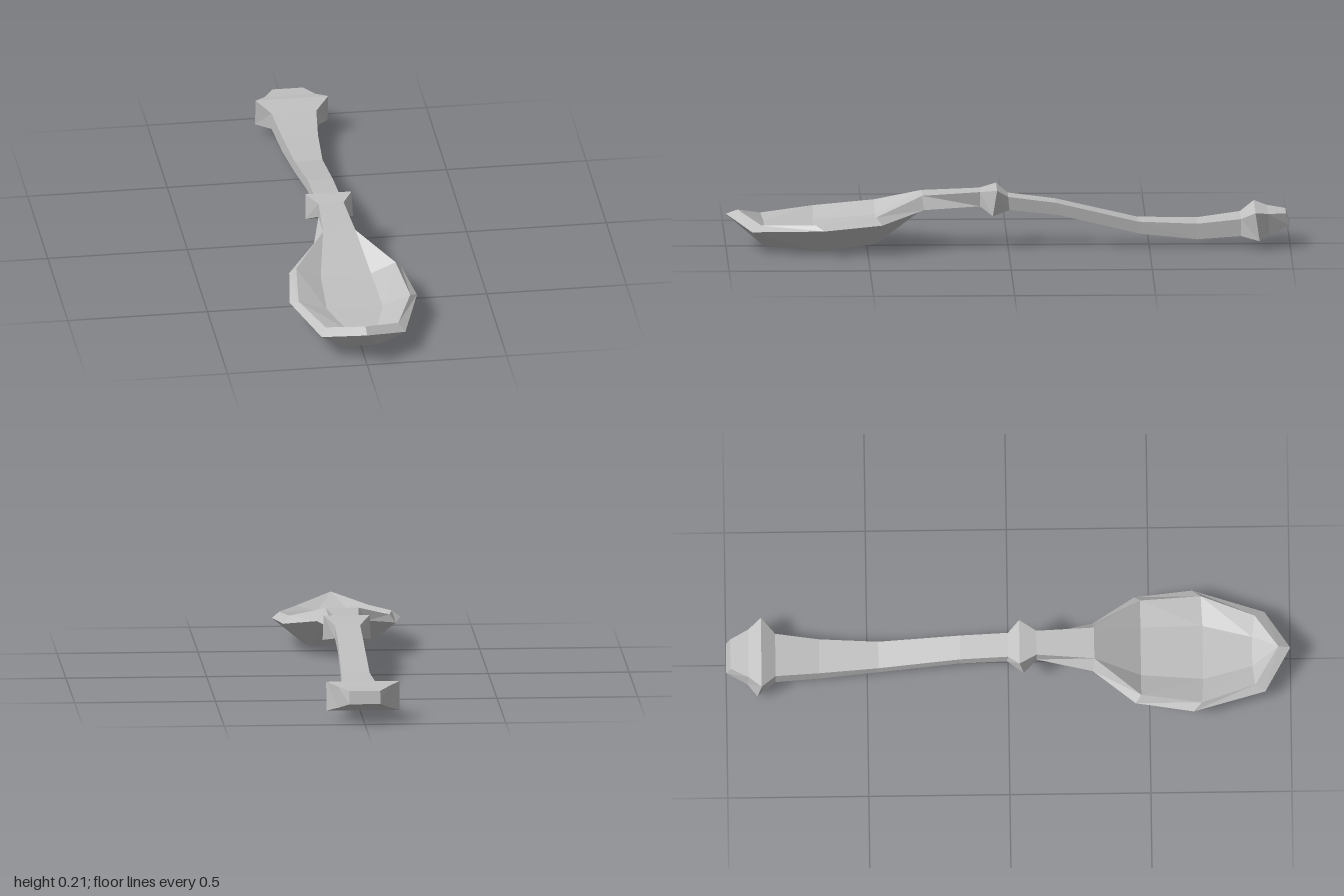
import * as THREE from 'three';

// Skin a list of rings (each counter-clockwise seen from +z), mirrored diagonals
function loft(rings, capStart) {
  const pos = [];
  const tri = (a, b, c) => {
    const u = new THREE.Vector3().subVectors(b, a);
    const v = new THREE.Vector3().subVectors(c, a);
    if (u.cross(v).length() < 1e-7) return; // collapsed at the tip
    for (const p of [a, b, c]) pos.push(p.x, p.y, p.z);
  };
  for (let i = 0; i < rings.length - 1; i++) {
    const A = rings[i], B = rings[i + 1], n = A.length;
    for (let j = 0; j < n; j++) {
      const k = (j + 1) % n;
      if (A[j].x + A[k].x + B[j].x + B[k].x > 0) {
        tri(A[j], A[k], B[k]); tri(A[j], B[k], B[j]);
      } else {
        tri(A[j], A[k], B[j]); tri(A[k], B[k], B[j]);
      }
    }
  }
  if (capStart) {
    const A = rings[0];
    for (let j = 1; j < A.length - 1; j++) tri(A[0], A[j + 1], A[j]);
  }
  const g = new THREE.BufferGeometry();
  g.setAttribute('position', new THREE.Float32BufferAttribute(pos, 3));
  g.computeVertexNormals();
  return g;
}

// Ring from right-hand points [x, y, z], bottom to top, mirrored to the other side
function mirrorRing(points) {
  const right = points.map(([x, y, z]) => new THREE.Vector3(x, y, z));
  const left = points.map(([x, y, z]) => new THREE.Vector3(-x, y, z)).reverse();
  return [...right, ...left];
}

export function createModel() {
  const group = new THREE.Group();
  const metal = new THREE.MeshStandardMaterial({ color: 0xc0c0c0, flatShading: true });
  metal.name = 'metal';
  const add = (name, geometry) => {
    const mesh = new THREE.Mesh(geometry, metal);
    mesh.name = name;
    group.add(mesh);
  };

  // Sections: [bottom half width, bottom y, bottom z, top half width, top y, top z]
  const section = ([bw, by, bz, tw, ty, tz]) => mirrorRing([[bw, by, bz], [tw, ty, tz]]);

  const pommel = [
    [0.055, 0.073, -1.0, 0.055, 0.118, -0.985],
    [0.09, 0.048, -0.925, 0.09, 0.123, -0.92],
    [0.13, 0.032, -0.89, 0.13, 0.133, -0.875],
    [0.08, 0.042, -0.825, 0.08, 0.103, -0.825],
  ];
  const shaft = [
    pommel[3],
    [0.064, 0.028, -0.67, 0.064, 0.084, -0.67],
    [0.05, 0.046, -0.47, 0.05, 0.09, -0.46],
    [0.045, 0.114, -0.18, 0.045, 0.158, -0.17],
    [0.045, 0.133, -0.005, 0.045, 0.18, 0.0],
  ];
  const collar = [
    shaft[4],
    [0.085, 0.118, 0.055, 0.082, 0.209, 0.04],
    [0.045, 0.147, 0.1, 0.045, 0.198, 0.1],
  ];
  const neck = [collar[2], [0.09, 0.142, 0.3, 0.058, 0.188, 0.305]];

  add('pommel', loft(pommel.map(section), true));
  add('handleShaft', loft(shaft.map(section)));
  add('collar', loft(collar.map(section)));
  add('neck', loft(neck.map(section)));

  // Bowl rings: underside, outer rim, inner rim, shallow inner floor
  const bowl = [
    [[0.055, 0.142, 0.3], [0.09, 0.142, 0.3], [0.058, 0.188, 0.305], [0.05, 0.188, 0.305]],
    [[0.1, 0.023, 0.47], [0.2, 0.107, 0.45], [0.178, 0.133, 0.47], [0.09, 0.095, 0.47]],
    [[0.118, 0, 0.67], [0.228, 0.092, 0.655], [0.2, 0.109, 0.685], [0.1, 0.075, 0.69]],
    [[0.062, 0.013, 0.87], [0.15, 0.076, 0.91], [0.13, 0.096, 0.875], [0.055, 0.079, 0.865]],
    [[0, 0.116, 1.0], [0, 0.116, 1.0], [0, 0.131, 0.958], [0, 0.131, 0.958]],
  ];
  add('bowl', loft(bowl.map(mirrorRing)));

  return group;
}
